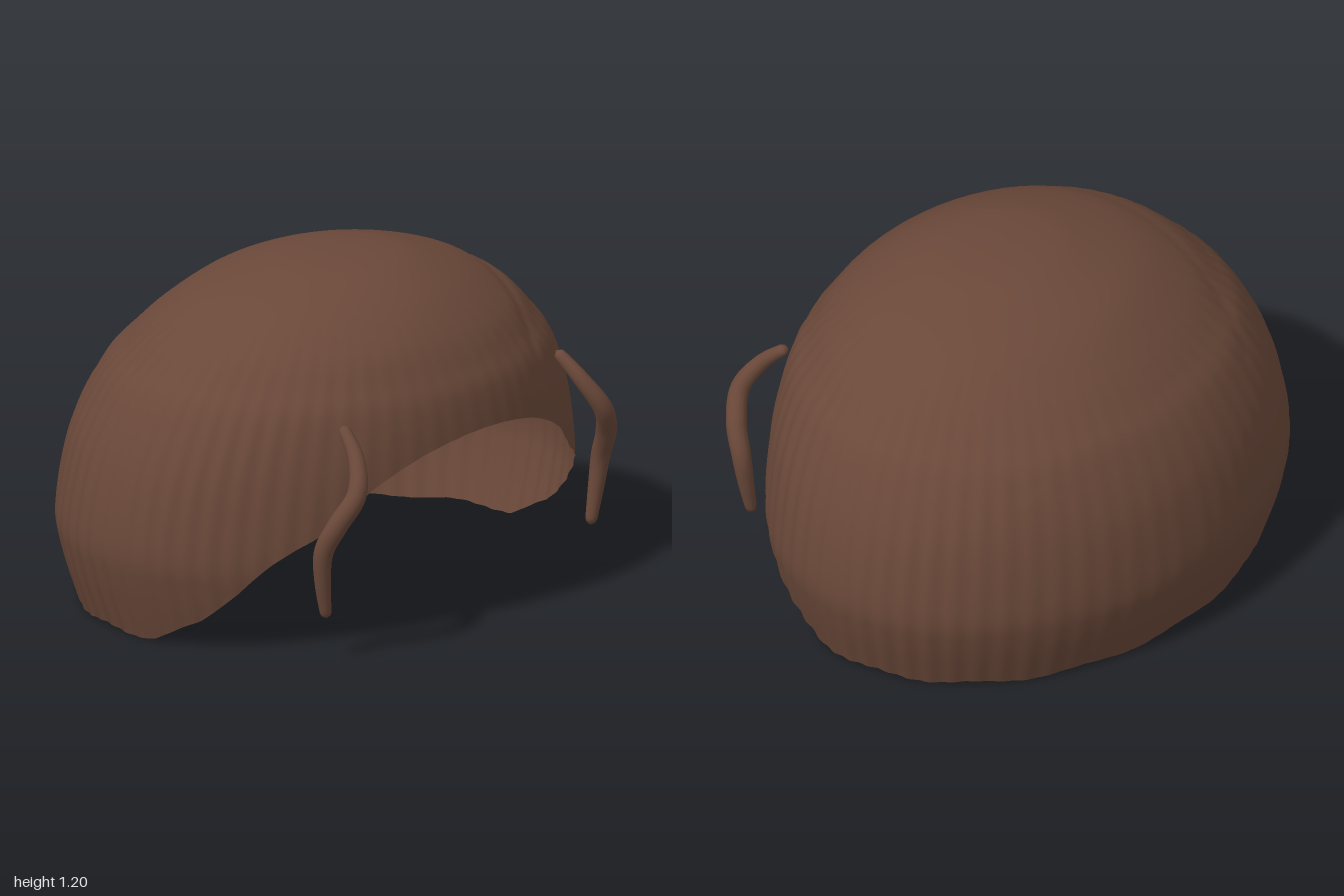
import * as THREE from 'three';
import { mergeVertices } from 'three/addons/utils/BufferGeometryUtils.js';

// Dome cross-sections from crown to nape: height, half width, front z, back z
const RINGS = [
  [1.2, 0, 0.1, 0.1], [1.193, 0.14, 0.25, -0.03], [1.17, 0.28, 0.37, -0.14],
  [1.1, 0.5, 0.51, -0.32], [1.0, 0.67, 0.63, -0.46], [0.9, 0.775, 0.7, -0.565],
  [0.8, 0.86, 0.75, -0.65], [0.6, 0.95, 0.782, -0.74], [0.35, 0.998, 0.785, -0.782],
  [0.2, 0.98, 0.77, -0.77], [0, 0.92, 0.73, -0.71],
];
const widthCurve = new THREE.SplineCurve(RINGS.map(([y, a]) => new THREE.Vector2(a, y)));
const depthCurve = new THREE.SplineCurve(RINGS.map(([, , f, b]) => new THREE.Vector2(f, b)));

// Height of the lower edge by depth: low at the back, arched over the forehead
const HEM = [[-0.8, 0.01], [0.08, 0.01], [0.15, 0.04], [0.27, 0.11], [0.4, 0.225],
  [0.5, 0.33], [0.63, 0.46], [0.68, 0.56], [0.74, 0.65], [0.785, 0.71]];
function hemHeight(z) {
  for (let i = 1; i < HEM.length; i++) {
    const [z0, y0] = HEM[i - 1], [z1, y1] = HEM[i];
    if (z <= z1) return THREE.MathUtils.lerp(y0, y1, Math.max(0, (z - z0) / (z1 - z0)));
  }
  return 0.71;
}

function domePoint(u, t) {
  const w = widthCurve.getPoint(u), d = depthCurve.getPoint(u);
  const mid = (d.x + d.y) / 2, half = (d.x - d.y) / 2;
  return new THREE.Vector3(w.x * Math.sin(t), w.y, mid + half * Math.cos(t));
}

// Where the dome meets the lower edge in direction t
function hemParameter(t) {
  let lo = 0.3, hi = 1;
  for (let k = 0; k < 24; k++) {
    const u = (lo + hi) / 2, p = domePoint(u, t);
    if (p.y > hemHeight(p.z)) lo = u; else hi = u;
  }
  return lo;
}

function capGeometry() {
  const around = 360, down = 72, pos = [], index = [];
  for (let j = 0; j < around; j++) {
    const t = (j / around) * Math.PI * 2 - Math.PI, end = hemParameter(t);
    for (let i = 0; i <= down; i++) {
      const u = (i / down) * end, p = domePoint(u, t);
      // fine combed ridges, strongest at the sides
      const fade = THREE.MathUtils.smoothstep(u, 0.2, 0.6);
      const ridge = 0.004 * fade * (0.3 + 0.7 * Math.sin(t) ** 2) * Math.cos(62 * Math.abs(t) + 5 * u);
      p.x *= 1 + ridge;
      p.z *= 1 + ridge;
      // shallow curved partings on both sides of the crown
      const line = 0.6 - 0.36 * (p.z + 0.1) ** 2;
      const depth = p.x > 0 ? 0.008 : 0.004;
      if (p.y > 0.75) p.y -= depth * Math.exp(-(((Math.abs(p.x) - line) / 0.03) ** 2));
      // slightly scalloped lower edge
      if (u > 0.75) p.y += 0.006 * Math.cos(14 * t) * (i / down) ** 8;
      pos.push(p.x, Math.max(0, p.y), p.z);
      if (i < down) {
        const a = j * (down + 1) + i, b = ((j + 1) % around) * (down + 1) + i;
        if (i > 0) index.push(a, a + 1, b);
        index.push(b, a + 1, b + 1);
      }
    }
  }
  let g = new THREE.BufferGeometry();
  g.setAttribute('position', new THREE.Float32BufferAttribute(pos, 3));
  g.setIndex(index);
  g = mergeVertices(g, 1e-5);
  g.computeVertexNormals();
  return g;
}

// Tapered wavy lock hanging by the temple; side is 1 or -1
function lockGeometry(side) {
  const path = new THREE.CatmullRomCurve3([
    [0.55, 0.8, 0.61], [0.583, 0.7, 0.705], [0.635, 0.6, 0.75], [0.69, 0.5, 0.715],
    [0.713, 0.4, 0.67], [0.705, 0.29, 0.657], [0.68, 0.15, 0.652],
  ].map(([x, y, z]) => new THREE.Vector3(x * side, y, z)));
  const n = 64, sides = 14;
  const g = new THREE.TubeGeometry(path, n, 1, sides);
  const p = g.attributes.position, v = new THREE.Vector3();
  for (let i = 0; i <= n; i++) {
    const s = i / n, c = path.getPointAt(s);
    const body = 0.018 + 0.018 * Math.sin(Math.PI * Math.min(1, s * 0.95 + 0.03));
    const tip = Math.sqrt(Math.max(0, 1 - Math.max(0, 1 - s / 0.035, (s - 0.965) / 0.035) ** 2));
    for (let k = 0; k <= sides; k++) {
      const id = i * (sides + 1) + k;
      v.fromBufferAttribute(p, id).sub(c).multiplyScalar(body * tip).add(c);
      p.setXYZ(id, v.x, v.y, v.z);
    }
  }
  g.deleteAttribute('uv');
  g.deleteAttribute('normal');
  const merged = mergeVertices(g, 1e-5);
  merged.computeVertexNormals();
  return merged;
}

export function createModel() {
  const model = new THREE.Group();
  model.name = 'hair';
  const brown = new THREE.MeshStandardMaterial({ color: 0x6a4839, side: THREE.DoubleSide });
  brown.name = 'brown hair';

  const add = (name, geometry) => {
    const mesh = new THREE.Mesh(geometry, brown);
    mesh.name = name;
    model.add(mesh);
  };
  add('hairCap', capGeometry());
  add('leftLock', lockGeometry(1));
  add('rightLock', lockGeometry(-1));
  return model;
}
